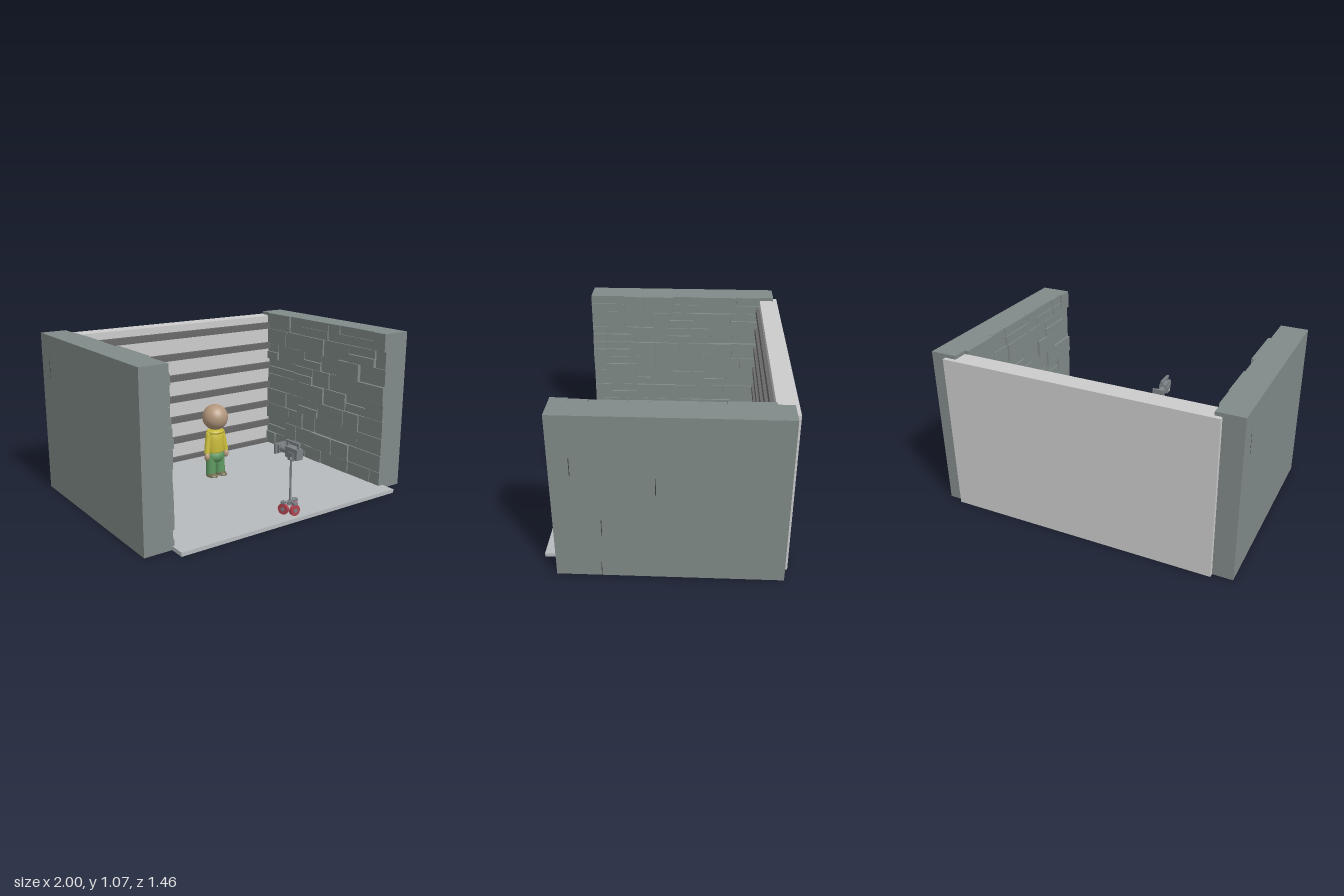
import * as THREE from 'three';

const mat = (color) => new THREE.MeshStandardMaterial({ color });
const GREY = mat(0xcccccc), STONE = mat(0x808a88), BAR = mat(0x686868), FLOOR = mat(0xb6babd),
  METAL = mat(0x7c8286), DARK = mat(0x3c4042), RED = mat(0xb04450), SKIN = mat(0xb2977c),
  YELLOW = mat(0xcbbd3c), GREEN = mat(0x5f9a62), SHOE = mat(0x6c6a4c);

function add(parent, name, geometry, material, x = 0, y = 0, z = 0) {
  const mesh = new THREE.Mesh(geometry, material);
  mesh.name = name;
  mesh.position.set(x, y, z);
  parent.add(mesh);
  return mesh;
}

// Box given by its minimum and maximum corners
function block(parent, name, material, x0, x1, y0, y1, z0, z1) {
  return add(parent, name, new THREE.BoxGeometry(Math.abs(x1 - x0), y1 - y0, z1 - z0), material,
    (x0 + x1) / 2, (y0 + y1) / 2, (z0 + z1) / 2);
}

// Rod between two points
function rod(parent, name, material, a, b, r) {
  const p = new THREE.Vector3(...a), q = new THREE.Vector3(...b);
  const mesh = add(parent, name, new THREE.CylinderGeometry(r, r, p.distanceTo(q), 12), material);
  mesh.position.copy(p).lerp(q, 0.5);
  mesh.quaternion.setFromUnitVectors(new THREE.Vector3(0, 1, 0), q.sub(p).normalize());
  return mesh;
}

function seeded(seed) {
  return () => (seed = (seed * 16807) % 2147483647) / 2147483647;
}

// Stone side wall: a solid core, faced inside with blocks of uneven depth
function sideWall(side) {
  const wall = new THREE.Group();
  wall.name = side > 0 ? 'leftWall' : 'rightWall';
  const random = seeded(side > 0 ? 71 : 1234);
  block(wall, 'wallCore', STONE, side * 0.838, side * 0.9995, 0.002, 1.07, -0.705, 0.628);
  const rows = 9, h = 1.068 / rows;
  for (let r = 0; r < rows; r++) {
    let z = -0.61;
    while (z < 0.62) {
      let end = z + 0.11 + random() * 0.17;
      if (end > 0.55) end = 0.628;
      const inner = 0.805 + (random() - 0.5) * 0.022;
      const y0 = 0.002 + r * h;
      // Some stones are split into two thin courses
      const courses = random() < 0.25 ? [[0, 0.5, 0], [0.5, 1, 0.008]] : [[0, 1, 0]];
      for (const [a, b, d] of courses) {
        block(wall, 'stone', STONE, side * (inner + d), side * 0.84, y0 + a * h,
          y0 + b * h - (r === rows - 1 ? 0 : 0.003), z, end - (end > 0.62 ? 0 : 0.003));
      }
      z = end;
    }
  }
  block(wall, 'rearStone', STONE, side * 0.826, side * 0.84, 0.002, 1.07, -0.705, -0.61);
  // Narrow open joints on the outside
  const joints = side > 0
    ? [[0.51, 0.69, 0.81], [0.04, 0.58, 0.69], [0.35, 0.29, 0.4], [0.36, 0.002, 0.1]]
    : [[-0.58, 0.79, 0.93]];
  for (const [z, y0, y1] of joints) {
    block(wall, 'joint', DARK, side * 0.99, side, y0, y1, z - 0.002, z + 0.002);
  }
  return wall;
}

function figure() {
  const g = new THREE.Group();
  g.name = 'figure';
  const lathe = (pts) => new THREE.LatheGeometry(pts.map((p) => new THREE.Vector2(...p)), 24);
  add(g, 'head', new THREE.SphereGeometry(0.09, 32, 24), SKIN, 0, 0.45, 0);
  // Sweater flares from the collar and closes at the hem
  const torso = add(g, 'torso', lathe([[0, 0.19], [0.058, 0.19], [0.066, 0.21], [0.066, 0.29],
    [0.06, 0.335], [0.045, 0.352], [0, 0.355]]), YELLOW);
  torso.scale.z = 0.8;
  const collar = add(g, 'collar', new THREE.TorusGeometry(0.054, 0.012, 10, 28), YELLOW, 0, 0.347, 0);
  collar.rotation.x = Math.PI / 2;
  collar.scale.y = 0.85;
  const hips = add(g, 'hips', lathe([[0, 0.13], [0.05, 0.13], [0.065, 0.16], [0.063, 0.2], [0, 0.205]]), GREEN);
  hips.scale.z = 0.78;
  for (const s of [-1, 1]) {
    rod(g, 'sleeve', YELLOW, [s * 0.055, 0.335, 0], [s * 0.078, 0.2, 0.012], 0.021);
    add(g, 'shoulder', new THREE.SphereGeometry(0.022, 16, 12), YELLOW, s * 0.055, 0.332, 0);
    add(g, 'hand', new THREE.SphereGeometry(0.02, 16, 12), SKIN, s * 0.079, 0.175, 0.016).scale.y = 1.4;
    add(g, 'leg', new THREE.CylinderGeometry(0.034, 0.036, 0.13, 20), GREEN, s * 0.038, 0.105, 0);
    const shoe = add(g, 'shoe', new THREE.SphereGeometry(0.036, 20, 12, 0, Math.PI * 2, 0, Math.PI / 2),
      SHOE, s * 0.04, 0.024, 0.016);
    shoe.scale.set(1, 0.8, 1.45);
    const sole = add(g, 'sole', new THREE.CylinderGeometry(0.036, 0.034, 0.024, 20), SHOE, s * 0.04, 0.012, 0.016);
    sole.scale.z = 1.45;
  }
  g.position.set(0.028, 0, -0.2);
  return g;
}

function cameraStand() {
  const g = new THREE.Group();
  g.name = 'cameraStand';
  const hub = [0, 0.1, 0];
  rod(g, 'pole', METAL, [0, 0.09, 0], [0, 0.4, 0], 0.007);
  add(g, 'hub', new THREE.CylinderGeometry(0.014, 0.018, 0.03, 16), METAL, ...hub);
  // Three short legs, each on a red castor
  for (const [x, z, turn] of [[-0.042, -0.012, 0.35], [0.05, -0.012, -0.35], [0, 0.045, Math.PI / 2]]) {
    rod(g, 'leg', METAL, hub, [x, 0.11, z], 0.008);
    const castor = new THREE.Group();
    castor.name = 'castor';
    castor.position.set(x, 0.062, z);
    castor.rotation.y = turn;
    const tyre = add(castor, 'wheel', new THREE.CylinderGeometry(0.035, 0.035, 0.02, 24), RED);
    tyre.rotation.z = Math.PI / 2;
    const cap = add(castor, 'wheelHub', new THREE.CylinderGeometry(0.013, 0.013, 0.028, 16), METAL);
    cap.rotation.z = Math.PI / 2;
    block(castor, 'fork', METAL, -0.014, 0.014, 0.036, 0.05, -0.014, 0.014);
    g.add(castor);
  }
  // Camera, aimed at the back of the set
  const cam = new THREE.Group();
  cam.name = 'camera';
  block(cam, 'body', METAL, -0.024, 0.024, 0.395, 0.462, -0.03, 0.08);
  block(cam, 'rearBlock', METAL, -0.03, 0.03, 0.385, 0.435, 0, 0.05);
  const lens = add(cam, 'lens', new THREE.CylinderGeometry(0.022, 0.022, 0.06, 20), METAL, 0, 0.428, -0.06);
  lens.rotation.x = Math.PI / 2;
  block(cam, 'hood', METAL, -0.043, 0.043, 0.395, 0.46, -0.115, -0.1);
  block(cam, 'hoodBack', METAL, -0.028, 0.028, 0.402, 0.454, -0.1, -0.085);
  block(cam, 'handle', METAL, -0.008, 0.008, 0.485, 0.497, -0.045, 0.08);
  for (const z of [-0.04, 0.06]) block(cam, 'handlePost', METAL, -0.007, 0.007, 0.455, 0.487, z, z + 0.014);
  const eye = add(cam, 'eyepiece', new THREE.CylinderGeometry(0.01, 0.01, 0.062, 16), GREY, 0, 0.4, 0.035);
  eye.rotation.z = Math.PI / 2;
  g.add(cam);
  g.position.set(0.016, 0, 0.645);
  return g;
}

export function createModel() {
  const model = new THREE.Group();
  model.name = 'filmSet';
  block(model, 'floor', FLOOR, -0.82, 0.85, 0.001, 0.026, -0.59, 0.728);

  // Back wall with evenly spaced dark rails
  const back = new THREE.Group();
  back.name = 'backWall';
  block(back, 'panel', GREY, -0.87, 0.9, 0.001, 1.047, -0.732, -0.608);
  for (let i = 0; i < 7; i++) {
    const y = 0.012 + i * 0.1565;
    block(back, 'rail', BAR, -0.812, 0.812, y, y + 0.047, -0.61, -0.583);
  }
  model.add(back, sideWall(1), sideWall(-1), figure(), cameraStand());
  return model;
}
